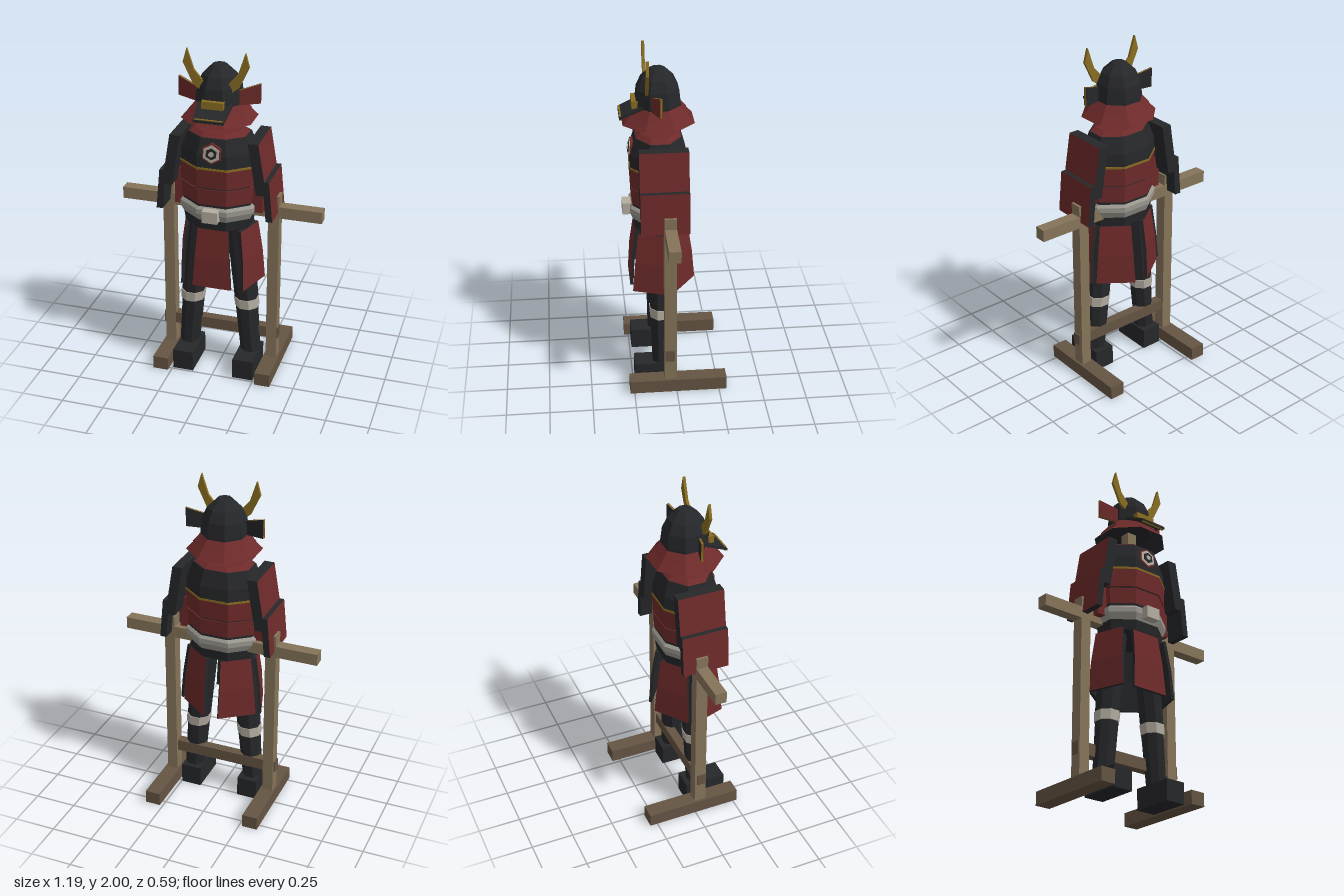
import * as THREE from 'three';

const mat = (color, side = THREE.FrontSide) => new THREE.MeshStandardMaterial({ color, flatShading: true, side });
const RED = mat(0x6e2a2a), BLACK = mat(0x26272a), GOLD = mat(0x8a6d22), WOOD = mat(0x86745a),
  DARKWOOD = mat(0x655443), GREY = mat(0x9a978f), PALE = mat(0xb5aea2);
const BLACK_INSIDE = mat(0x26272a, THREE.BackSide);
const CZ = 0.077; // depth of the armour's axis

export function createModel() {
  const root = new THREE.Group();

  const add = (name, geo, material, x = 0, y = 0, z = 0, parent = root) => {
    const m = new THREE.Mesh(geo, material);
    m.name = name;
    m.position.set(x, y, z);
    parent.add(m);
    return m;
  };
  // box given by its extents
  const box = (name, material, x0, x1, y0, y1, z0, z1) => add(name,
    new THREE.BoxGeometry(x1 - x0, y1 - y0, z1 - z0), material, (x0 + x1) / 2, (y0 + y1) / 2, (z0 + z1) / 2);
  // octagonal turned shell, flat side to the front; profile = [half width, y] from the bottom up
  const octagon = (name, profile, material, depth = 1) => {
    const k = 1 / Math.cos(Math.PI / 8);
    const geo = new THREE.LatheGeometry(profile.map(([r, y]) => new THREE.Vector2(r * k, y)), 8, Math.PI / 8);
    geo.scale(1, 1, depth);
    return add(name, geo, material, 0, 0, CZ);
  };
  // move the vertices of a geometry by a rule
  const warp = (geo, rule) => {
    const p = geo.attributes.position, v = new THREE.Vector3();
    for (let i = 0; i < p.count; i++) {
      rule(v.fromBufferAttribute(p, i));
      p.setXYZ(i, v.x, v.y, v.z);
    }
    geo.computeVertexNormals();
    return geo;
  };
  const outline = (points, depth) => new THREE.ExtrudeGeometry(
    new THREE.Shape(points.map(([x, y]) => new THREE.Vector2(x, y))), { depth, bevelEnabled: false });

  // wooden stand
  box('crossbar', WOOD, -0.595, 0.595, 1.01, 1.08, 0, 0.068);
  box('lowerRail', DARKWOOD, -0.355, 0.355, 0.21, 0.28, 0.013, 0.068);
  box('neckPost', WOOD, -0.03, 0.03, 1.0, 1.72, 0.04, 0.1);
  for (const s of [-1, 1]) {
    const c = s * 0.315;
    box('standPost', WOOD, c - 0.032, c + 0.032, 0.08, 1.145, 0, 0.07);
    box('standFoot', DARKWOOD, c - 0.046, c + 0.046, 0, 0.08, -0.295, 0.275);
  }

  // cuirass
  const D = 0.77;
  octagon('cuirassBase', [[0, 0.96], [0.185, 0.96], [0.195, 1.02], [0.195, 1.13], [0, 1.13]], BLACK, D);
  octagon('belt', [[0.19, 1.01], [0.215, 1.06], [0.215, 1.09], [0.198, 1.105], [0, 1.105]], GREY, D);
  octagon('lowerBellyPlate', [[0, 1.12], [0.2, 1.12], [0.205, 1.215], [0, 1.215]], RED, D);
  octagon('bellySeam', [[0.197, 1.1], [0.197, 1.34]], BLACK, D);
  octagon('upperBellyPlate', [[0, 1.225], [0.207, 1.225], [0.212, 1.335], [0, 1.335]], RED, D);
  octagon('goldTrim', [[0, 1.335], [0.213, 1.335], [0.213, 1.348], [0, 1.348]], GOLD, D);
  octagon('chest', [[0.21, 1.345], [0.205, 1.42], [0.17, 1.515], [0, 1.515]], BLACK, D);
  octagon('collar', [[0.168, 1.513], [0.13, 1.537], [0, 1.537]], RED, D);
  box('buckle', PALE, -0.045, 0.045, 1.03, 1.1, 0.235, 0.285);

  // nested hexagon ornament on the chest
  const badge = new THREE.Group();
  badge.name = 'chestOrnament';
  badge.position.set(0, 1.435, 0.23);
  badge.rotation.x = -0.08;
  root.add(badge);
  [[0.062, RED], [0.052, PALE], [0.034, BLACK], [0.016, PALE]].forEach(([r, m], i) => {
    const geo = new THREE.CylinderGeometry(r, r, 0.016 + 0.004 * i, 6).rotateX(Math.PI / 2);
    add('hexagon', geo, m, 0, 0, 0.002 * i, badge);
  });

  // five hanging skirt panels, red outside and black elsewhere
  const faces = [BLACK, BLACK, BLACK, BLACK, RED, BLACK];
  for (let i = 0; i < 5; i++) {
    const a = (i * Math.PI * 2) / 5;
    const geo = warp(new THREE.BoxGeometry(0.2, 0.36, 0.018, 1, 2, 1), v => {
      const t = 0.5 - v.y / 0.36; // 0 at the waist, 1 at the hem
      v.x *= 0.9 + 0.25 * t;
      v.z += t < 0.4 ? 0 : t < 0.8 ? 0.025 : 0.035;
    });
    const panel = add('skirtPanel', geo, faces, 0.19 * Math.sin(a), 0.78, CZ + 0.13 * Math.cos(a));
    panel.rotation.y = a;
  }

  // legs
  const limb = (name, material, x0, y0, r0, x1, y1, r1) => {
    const k = 1 / Math.cos(Math.PI / 8);
    const geo = warp(new THREE.CylinderGeometry(r1 * k, r0 * k, y1 - y0, 8, 1, false, Math.PI / 8),
      v => { v.x += v.y > 0 ? x1 : x0; });
    add(name, geo, material, 0, (y0 + y1) / 2, 0.075);
  };
  for (const s of [-1, 1]) {
    box('foot', BLACK, s * 0.185 - 0.062, s * 0.185 + 0.062, 0, 0.125, -0.01, 0.238);
    limb('shin', BLACK, s * 0.19, 0.12, 0.055, s * 0.165, 0.43, 0.062);
    limb('kneeBand', PALE, s * 0.168, 0.42, 0.066, s * 0.162, 0.48, 0.069);
    limb('thigh', BLACK, s * 0.163, 0.47, 0.065, s * 0.115, 0.98, 0.072);
  }

  // shoulder guards: two overlapping sloping plates per side
  const sidePlate = (name, s, yTop, yBot, xTop, xBot, thick) => {
    const h = yTop - yBot;
    const geo = warp(new THREE.BoxGeometry(thick, h, 0.275),
      v => { v.x += s * (v.y > 0 ? xTop : xBot); });
    const m = [BLACK, BLACK, BLACK, BLACK, BLACK, BLACK];
    m[s > 0 ? 0 : 1] = RED;
    add(name, geo, m, 0, (yTop + yBot) / 2, 0.0625);
  };
  for (const s of [-1, 1]) {
    sidePlate('upperShoulderPlate', s, 1.505, 1.2, 0.225, 0.275, 0.06);
    sidePlate('lowerShoulderPlate', s, 1.285, 1.045, 0.3, 0.322, 0.038);
    box('underarmPlate', RED, s * 0.23 - 0.03, s * 0.23 + 0.03, 1.05, 1.27, 0.03, 0.11);
  }

  // helmet bowl and flaring neck guard
  octagon('helmetBowl', [[0, 1.66], [0.125, 1.66], [0.125, 1.71], [0.116, 1.79], [0.09, 1.85], [0.038, 1.903], [0, 1.905]], BLACK);
  const tiers = [[[0.165, 1.645], [0.125, 1.695]], [[0.2, 1.6], [0.15, 1.655]]];
  for (const t of tiers) {
    octagon('neckGuard', t, RED);
    octagon('neckGuardLining', t, BLACK_INSIDE);
  }

  // visor sloping forward, with gold fittings
  add('visor', warp(new THREE.BoxGeometry(0.2, 0.015, 0.13), v => {
    v.y -= v.z > 0 ? 0.03 : -0.03;
    if (v.z > 0) v.x *= 0.86;
  }), BLACK, 0, 1.672, 0.23);
  box('visorRim', GOLD, -0.08, 0.08, 1.632, 1.655, 0.28, 0.293);
  box('browPlate', GOLD, -0.062, 0.062, 1.69, 1.732, 0.185, 0.225);

  // horns and turned-back ear plates
  const horn = [[0.08, 1.762], [0.13, 1.8], [0.187, 1.92], [0.165, 2.0], [0.125, 1.88], [0.068, 1.815]];
  const ear = [[0, 1.69], [0.118, 1.7], [0.118, 1.812], [0, 1.775]];
  const mirror = pts => pts.map(([x, y]) => [-x, y]);
  for (const s of [-1, 1]) {
    add('horn', outline(s > 0 ? horn : mirror(horn), 0.016), GOLD, 0, 0, 0.135);
    const pts = s > 0 ? ear : mirror(ear);
    const plate = new THREE.Group();
    plate.name = 'earPlate';
    plate.position.set(s * 0.12, 0, 0.105);
    plate.rotation.y = s * 0.31;
    root.add(plate);
    add('earEdge', outline(pts, 0.012), GOLD, 0, 0, 0, plate);
    add('earFace', outline(pts, 0.002), RED, 0, 0, 0.012, plate);
    add('earBack', outline(pts, 0.002), BLACK, 0, 0, -0.002, plate);
  }
  return root;
}
